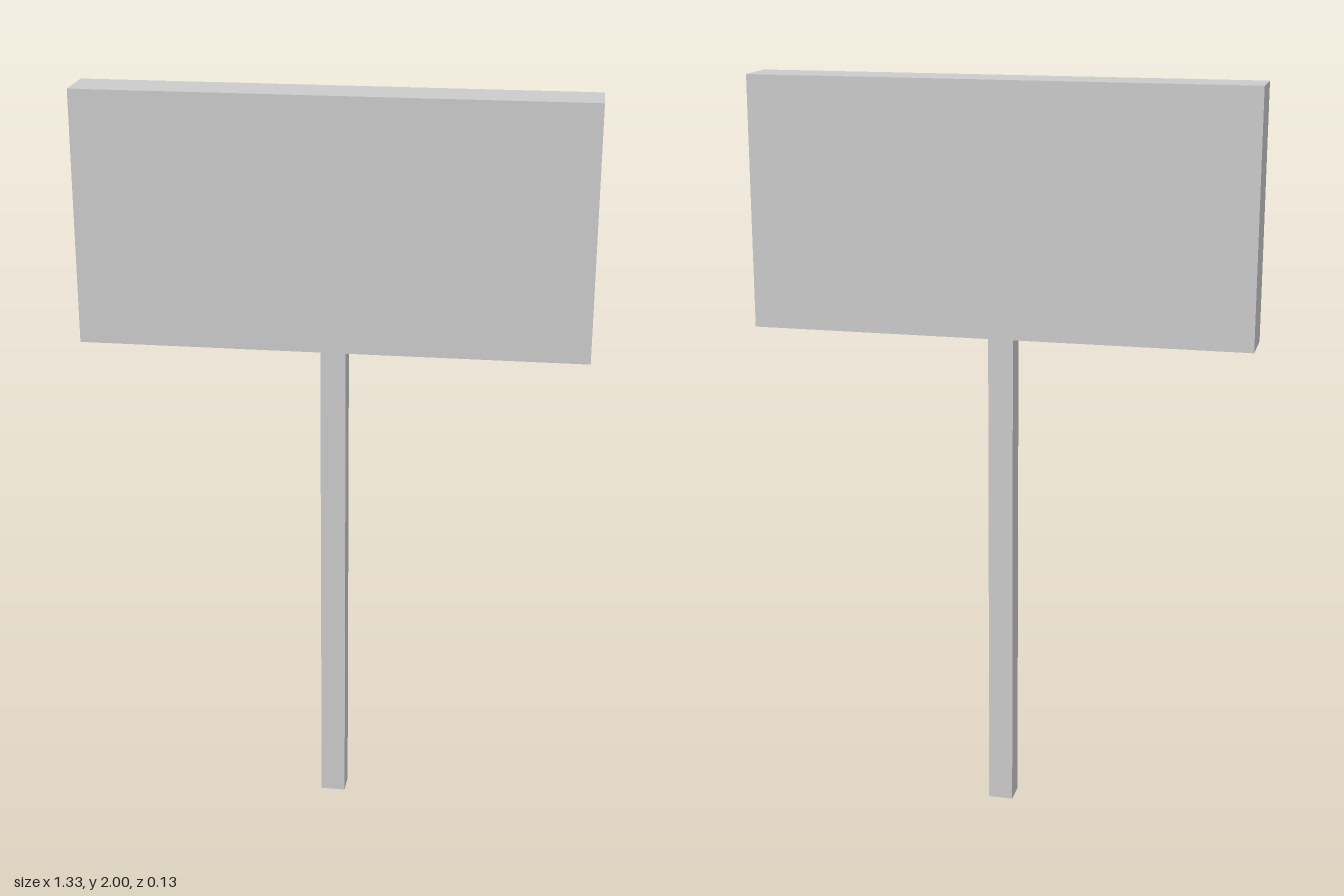
import * as THREE from 'three';

export function createModel() {
  const model = new THREE.Group();
  model.name = 'signpost';
  const material = new THREE.MeshStandardMaterial({ color: 0xcccccc, flatShading: true });

  // Box standing on a given height
  const addBox = (name, width, height, depth, bottom) => {
    const mesh = new THREE.Mesh(new THREE.BoxGeometry(width, height, depth), material);
    mesh.name = name;
    mesh.position.y = bottom + height / 2;
    model.add(mesh);
  };

  const unit = 2 / 30; // post thickness; the whole sign is 30 of these tall
  addBox('post', unit, 20 * unit, unit, 0);
  addBox('board', 20 * unit, 10 * unit, 2 * unit, 20 * unit);

  return model;
}
